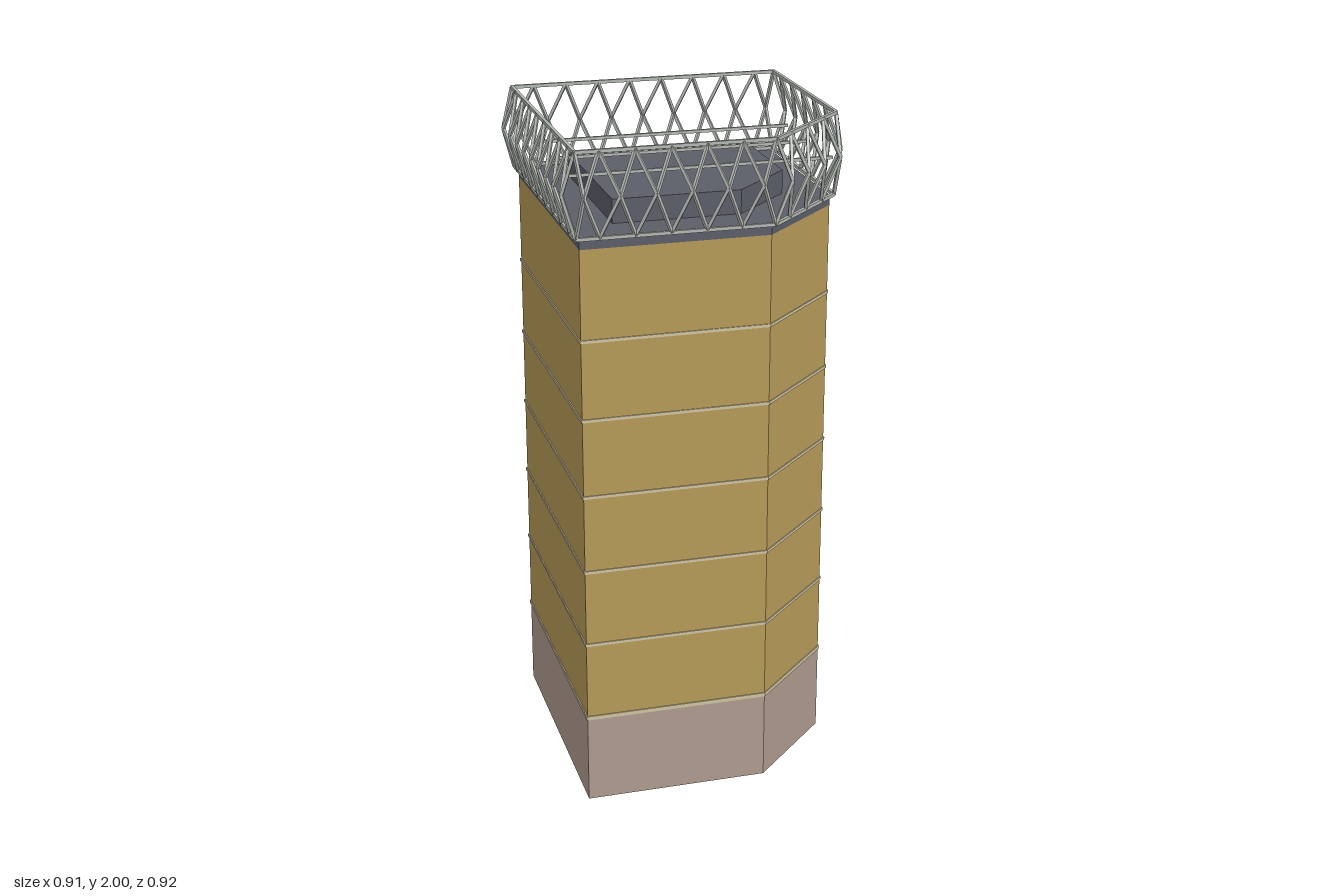
import * as THREE from 'three';
import { mergeGeometries } from 'three/addons/utils/BufferGeometryUtils.js';

// Plans as [x, z] corners, starting at back right and running round the building
const WALL_PLAN = [[-0.405, -0.407], [0.402, -0.407], [0.402, 0.155], [0.145, 0.405], [-0.405, 0.405]];
const HOUSE_PLAN = [[-0.28, -0.28], [0.275, -0.28], [0.275, 0.1], [0.095, 0.277], [-0.28, 0.277]];
const RAIL_PLAN = [[-0.416, -0.42], [0.413, -0.42], [0.413, 0.16], [0.152, 0.416], [-0.416, 0.416]];

// Outer truss nodes for each edge: first inset, last inset, count
const TRUSS_NODES = [[0.016, 0.013, 9], [0.02, 0.045, 6], [0.033, 0.033, 4], [0.045, 0.016, 6], [0.016, 0.02, 9]];

function material(name, color, side = THREE.FrontSide) {
  const m = new THREE.MeshStandardMaterial({ color, side });
  m.name = name;
  return m;
}

// Open ring of flat walls standing on a plan
function wallRing(plan, y0, y1) {
  const pos = [];
  plan.forEach(([ax, az], i) => {
    const [bx, bz] = plan[(i + 1) % plan.length];
    pos.push(ax, y0, az, ax, y1, az, bx, y0, bz, bx, y0, bz, ax, y1, az, bx, y1, bz);
  });
  const g = new THREE.BufferGeometry();
  g.setAttribute('position', new THREE.Float32BufferAttribute(pos, 3));
  g.computeVertexNormals();
  return g;
}

// Upright prism on a plan, with an optional hole
function prism(plan, y0, y1, hole) {
  const points = (p) => p.map(([x, z]) => new THREE.Vector2(x, -z));
  const shape = new THREE.Shape(points(plan));
  if (hole) shape.holes.push(new THREE.Path(points(hole)));
  const g = new THREE.ExtrudeGeometry(shape, { depth: y1 - y0, bevelEnabled: false });
  return g.rotateX(-Math.PI / 2).translate(0, y0, 0);
}

// Square bar between two points
function bar(a, b, size) {
  const g = new THREE.BoxGeometry(size, size, a.distanceTo(b));
  const o = new THREE.Object3D();
  o.position.copy(a).add(b).multiplyScalar(0.5);
  o.lookAt(b);
  o.updateMatrix();
  return g.applyMatrix4(o.matrix);
}

export function createModel() {
  const model = new THREE.Group();
  model.name = 'tower';

  const ochre = material('ochreWall', 0xb59a57, THREE.DoubleSide);
  const stone = material('baseStone', 0xae9a8d, THREE.DoubleSide);
  const cream = material('creamBand', 0xcfc3a0);
  const slate = material('slateRoof', 0x5b5d68);
  const steel = material('steel', 0xb2b8b2);

  const add = (name, geometry, mat, parent = model) => {
    const mesh = new THREE.Mesh(geometry, mat);
    mesh.name = name;
    parent.add(mesh);
  };

  // Hollow shaft, open underneath
  add('base', wallRing(WALL_PLAN, 0, 0.272), stone);
  add('shaft', wallRing(WALL_PLAN, 0.272, 1.72), ochre);

  // Floor bands, slightly proud of the walls
  const bands = new THREE.Group();
  bands.name = 'floorBands';
  model.add(bands);
  const bandPlan = WALL_PLAN.map(([x, z]) => [x * 1.008, z * 1.008]);
  [0.275, 0.517, 0.751, 0.986, 1.22, 1.455].forEach((y, i) => {
    const h = i === 0 ? 0.006 : 0.0045;
    add('floorBand', prism(bandPlan, y - h, y + h, WALL_PLAN), cream, bands);
  });

  // Roof slab and raised roof house
  add('roofSlab', prism(WALL_PLAN, 1.72, 1.75), slate);
  add('roofHouse', prism(HOUSE_PLAN, 1.75, 1.82), slate);

  // Beams spanning the crown
  const crown = new THREE.Group();
  crown.name = 'crown';
  model.add(crown);
  for (const z of [-0.205, 0, 0.203]) {
    const beam = bar(new THREE.Vector3(-0.395, 1.875, z), new THREE.Vector3(0.39, 1.875, z), 0.009);
    add('crossBeam', beam, steel, crown);
  }

  // Rails and zigzag truss, bulging outward at mid height
  const low = 1.753, mid = 1.875, high = 1.995;
  const rails = [], braces = [];
  RAIL_PLAN.forEach(([ax, az], i) => {
    const [bx, bz] = RAIL_PLAN[(i + 1) % RAIL_PLAN.length];
    const length = Math.hypot(bx - ax, bz - az);
    const dx = (bx - ax) / length, dz = (bz - az) / length;
    const at = (s, out, y) => new THREE.Vector3(ax + dx * s + dz * out, y, az + dz * s - dx * out);
    for (const y of [low, high]) rails.push(bar(at(0, 0, y), at(length, 0, y), 0.01));

    const [first, last, count] = TRUSS_NODES[i];
    const step = (length - first - last) / (count - 1);
    for (let k = 0; k < count; k++) {
      const s = first + k * step;
      const node = at(s, 0.034, mid);
      const before = k === 0 ? 0 : s - step / 2;
      const after = k === count - 1 ? length : s + step / 2;
      for (const y of [low, high]) {
        braces.push(bar(node, at(before, 0, y), 0.009), bar(node, at(after, 0, y), 0.009));
      }
    }
  });
  add('crownRails', mergeGeometries(rails), steel, crown);
  add('crownTruss', mergeGeometries(braces), steel, crown);

  return model;
}
